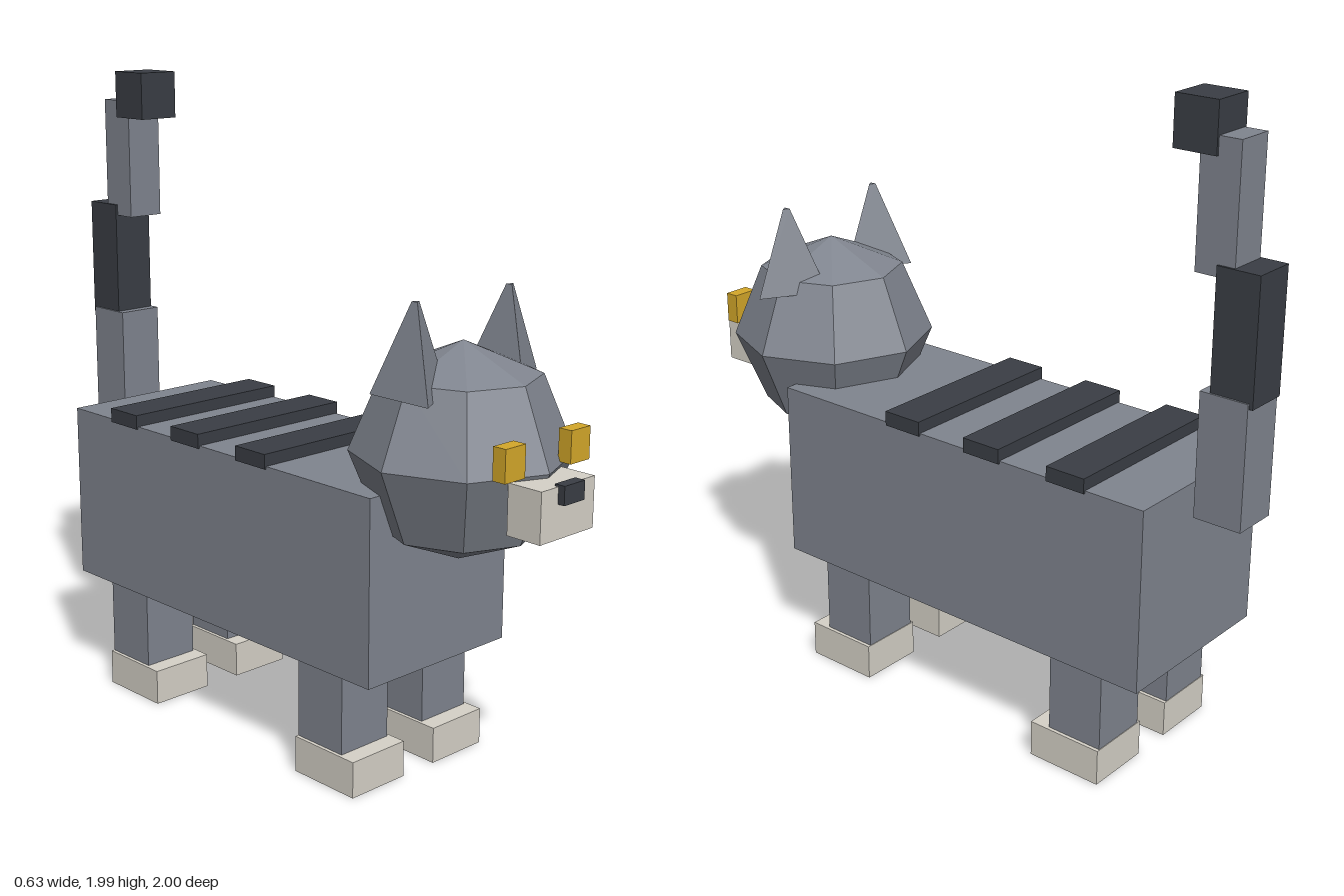
import * as THREE from 'three';

const paint = (color) => new THREE.MeshStandardMaterial({ color, flatShading: true });

export function createModel() {
  const cat = new THREE.Group();
  cat.name = 'cat';
  const fur = paint(0x80858f);
  const dark = paint(0x3a3e45);
  const cream = paint(0xd6d2c8);
  const gold = paint(0xd4a82a);

  const add = (name, geometry, material, x, y, z) => {
    const mesh = new THREE.Mesh(geometry, material);
    mesh.name = name;
    mesh.position.set(x, y, z);
    cat.add(mesh);
    return mesh;
  };
  // Box centred on x, given by its y and z ranges
  const box = (name, material, x, width, y0, y1, z0, z1) =>
    add(name, new THREE.BoxGeometry(width, y1 - y0, z1 - z0), material, x, (y0 + y1) / 2, (z0 + z1) / 2);

  // Body, belly patch and back stripes
  box('body', fur, 0, 0.566, 0.362, 0.92, -0.818, 0.528);
  box('belly', cream, 0, 0.44, 0.34, 0.4, -0.41, 0.38);
  [0.04, -0.26, -0.56].forEach((z, i) =>
    box(`backStripe${i + 1}`, dark, 0, 0.578, 0.912, 0.957, z - 0.065, z + 0.065));

  // Head: low-poly ball
  add('head', new THREE.SphereGeometry(0.315, 8, 4), fur, 0, 1.015, 0.6);

  // Three-sided ears, both with one corner towards +x
  const earGeometry = new THREE.CylinderGeometry(0.012, 0.125, 0.26, 3, 1, false, Math.PI / 2);

  for (const [side, s] of [['left', 1], ['right', -1]]) {
    add(`${side}Ear`, earGeometry, fur, s * 0.19, 1.33, 0.6);
    box(`${side}Eye`, gold, s * 0.134, 0.08, 1.022, 1.116, 0.866, 0.909);

    // Legs with paws that reach forward
    for (const [end, z] of [['Front', 0.309], ['Back', -0.592]]) {
      box(`${side}${end}Leg`, fur, s * 0.168, 0.187, 0.02, 0.38, z - 0.091, z + 0.091);
      box(`${side}${end}Paw`, cream, s * 0.168, 0.209, 0, 0.112, z - 0.093, z + 0.149);
    }
  }

  // Muzzle and nose
  box('muzzle', cream, 0, 0.22, 0.858, 1.004, 0.866, 0.979);
  box('nose', dark, 0, 0.084, 0.956, 1.01, 0.967, 1);

  // Upright tail in stepped blocks: material, width, y range, z range
  [
    [fur, 0.146, 0.829, 1.203, -0.989, -0.839],
    [dark, 0.134, 1.187, 1.556, -1, -0.867],
    [fur, 0.12, 1.522, 1.893, -0.919, -0.796],
    [dark, 0.134, 1.84, 1.985, -0.85, -0.716],
  ].forEach(([material, width, ...range], i) =>
    box(`tailSegment${i + 1}`, material, 0, width, ...range));

  return cat;
}
